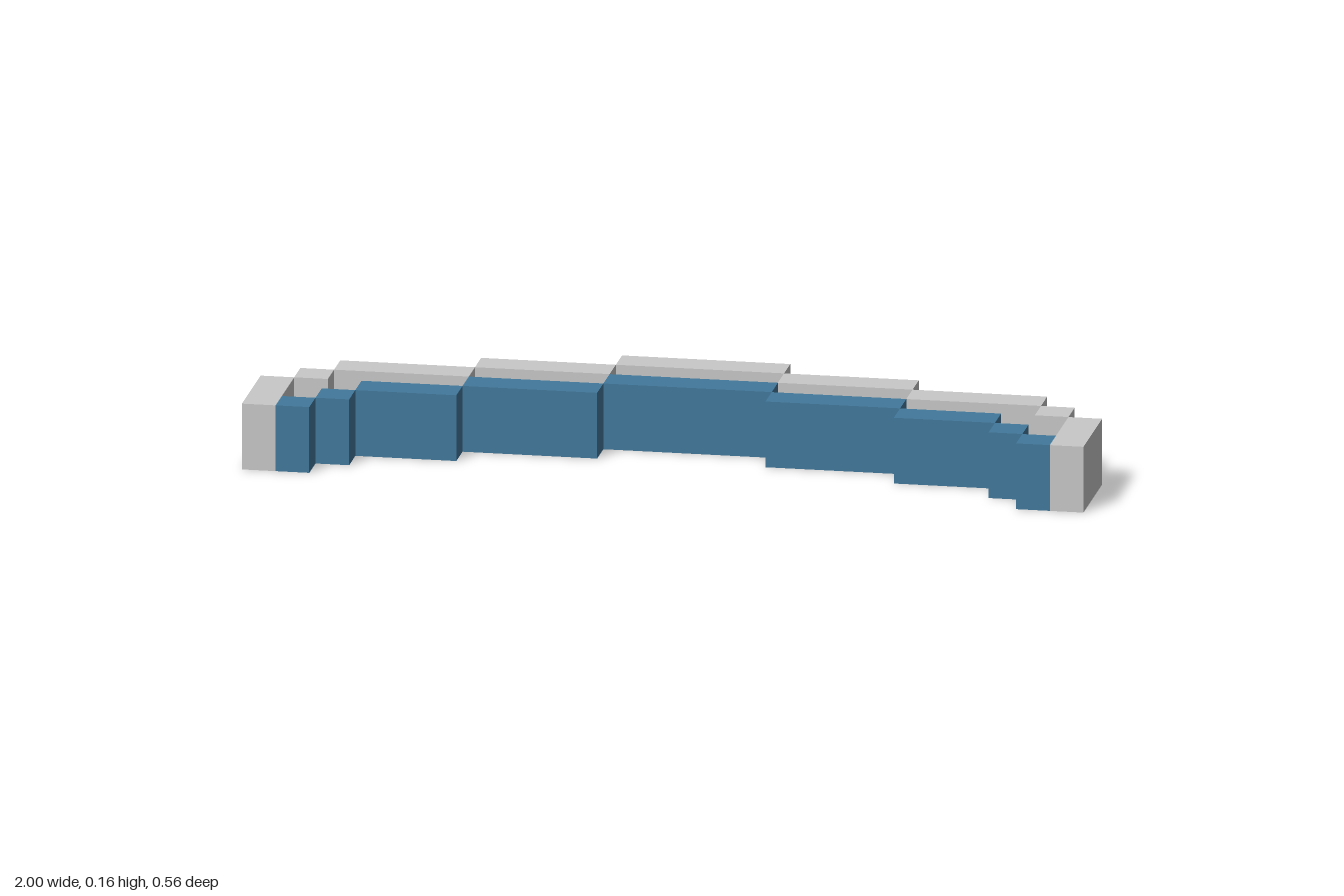
import * as THREE from 'three';

const HEIGHT = 0.16;
const FLOOR = 0.08;

export function createModel() {
  const model = new THREE.Group();
  const grey = new THREE.MeshStandardMaterial({ name: 'lightGrey', color: 0xc9c9c9 });
  const blue = new THREE.MeshStandardMaterial({ name: 'blue', color: 0x42799c });

  // Block standing on the ground, given by its plan rectangle
  function block(name, material, x0, x1, z0, z1, height) {
    const mesh = new THREE.Mesh(new THREE.BoxGeometry(x1 - x0, height, z1 - z0), material);
    mesh.position.set((x0 + x1) / 2, height / 2, (z0 + z1) / 2);
    mesh.name = name;
    model.add(mesh);
  }

  // Middle section of the stepped arc
  block('middleOuterWall', grey, -0.2, 0.2, -0.28, -0.2, HEIGHT);
  block('middleFloor', blue, -0.2, 0.2, -0.2, -0.12, FLOOR);
  block('middleInnerWall', blue, -0.2, 0.2, -0.12, -0.04, HEIGHT);

  // Stepped sections of one side: [x0, x1, z0, z1]
  const outerWalls = [
    [0.2, 0.52, -0.2, -0.12],
    [0.52, 0.84, -0.12, -0.04],
    [0.84, 0.92, -0.04, 0.04],
    [0.92, 1, 0.04, 0.28],
  ];
  const innerWalls = [
    [0.2, 0.52, -0.04, 0.04],
    [0.52, 0.76, 0.04, 0.12],
    [0.76, 0.84, 0.12, 0.2],
    [0.84, 0.92, 0.2, 0.28],
  ];
  // Sunken channel between the two walls
  const floors = [
    [0.2, 0.52, -0.12, -0.04],
    [0.52, 0.84, -0.04, 0.04],
    [0.76, 0.84, 0.04, 0.12],
    [0.84, 0.92, 0.04, 0.2],
  ];

  const addSide = (name, material, rects, height) => {
    for (const [x0, x1, z0, z1] of rects) {
      block('left' + name, material, x0, x1, z0, z1, height);
      block('right' + name, material, -x1, -x0, z0, z1, height);
    }
  };
  addSide('OuterWall', grey, outerWalls, HEIGHT);
  addSide('InnerWall', blue, innerWalls, HEIGHT);
  addSide('Floor', blue, floors, FLOOR);

  return model;
}
